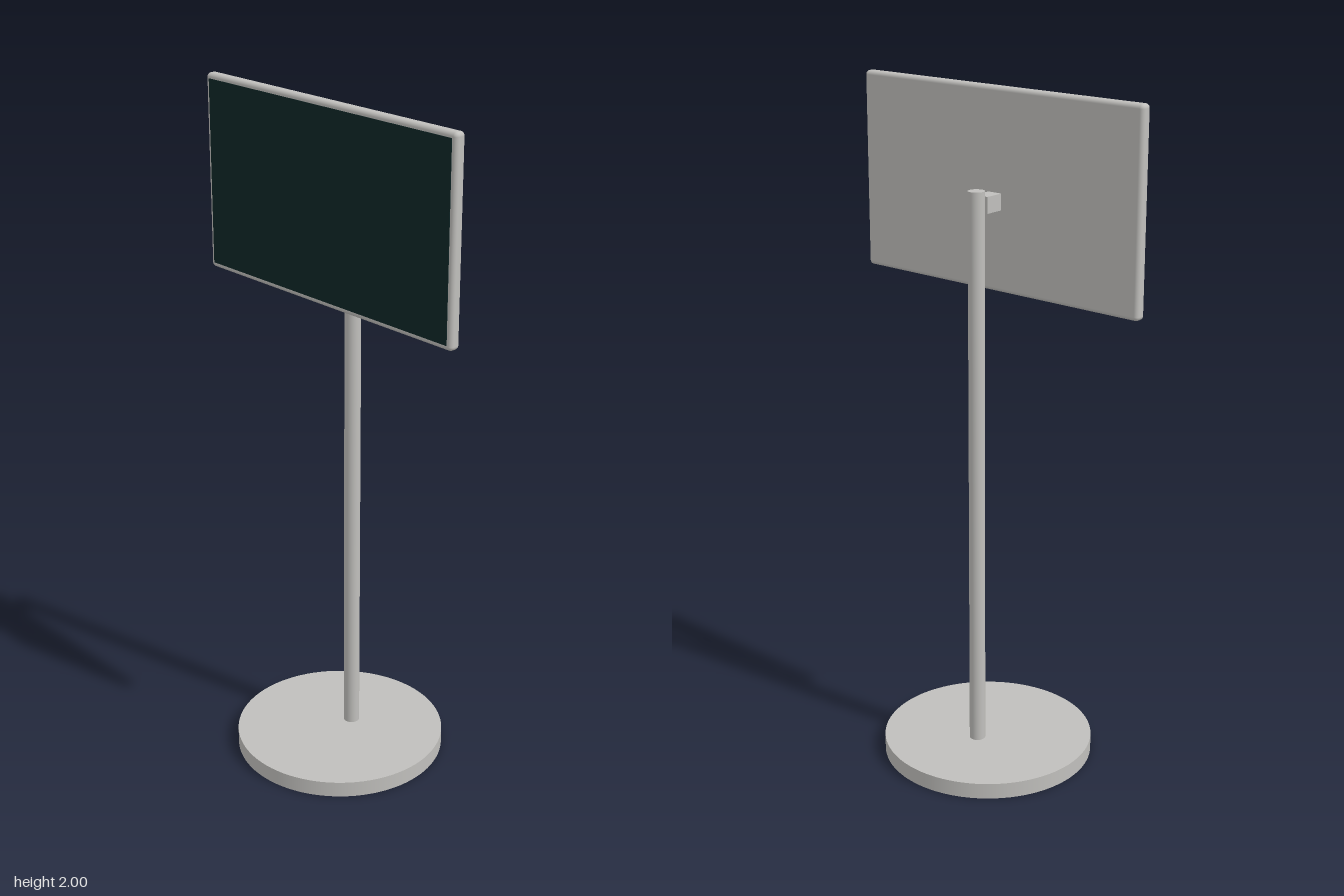
import * as THREE from 'three';
import { RoundedBoxGeometry } from 'three/addons/geometries/RoundedBoxGeometry.js';

export function createModel() {
  const model = new THREE.Group();
  model.name = 'displayStand';

  const metal = new THREE.MeshStandardMaterial({ name: 'satin grey', color: 0xc0bfbc });
  const glass = new THREE.MeshStandardMaterial({ name: 'dark screen', color: 0x0e2627 });

  const add = (name, geometry, material, x, y, z) => {
    const mesh = new THREE.Mesh(geometry, material);
    mesh.name = name;
    mesh.position.set(x, y, z);
    model.add(mesh);
  };

  // Round foot and the pole set slightly behind its centre
  const baseHeight = 0.048, poleTop = 1.727, poleZ = -0.049;
  add('base', new THREE.CylinderGeometry(0.314, 0.314, baseHeight, 96), metal, 0, baseHeight / 2, 0);
  const poleLength = poleTop - baseHeight;
  add('pole', new THREE.CylinderGeometry(0.0237, 0.0237, poleLength, 40), metal,
    0, baseHeight + poleLength / 2, poleZ);

  // Square bracket from the pole to the back of the display
  add('bracket', new THREE.BoxGeometry(0.046, 0.047, 0.062), metal, 0, 1.687, 0.001);

  // Rounded housing with the thin screen plate on its front
  const panelY = 1.715;
  add('housing', new RoundedBoxGeometry(0.982, 0.57, 0.035, 5, 0.012), metal, 0, panelY, 0.0465);
  add('screen', new THREE.BoxGeometry(0.952, 0.54, 0.004), glass, 0, panelY, 0.0635);

  return model;
}
